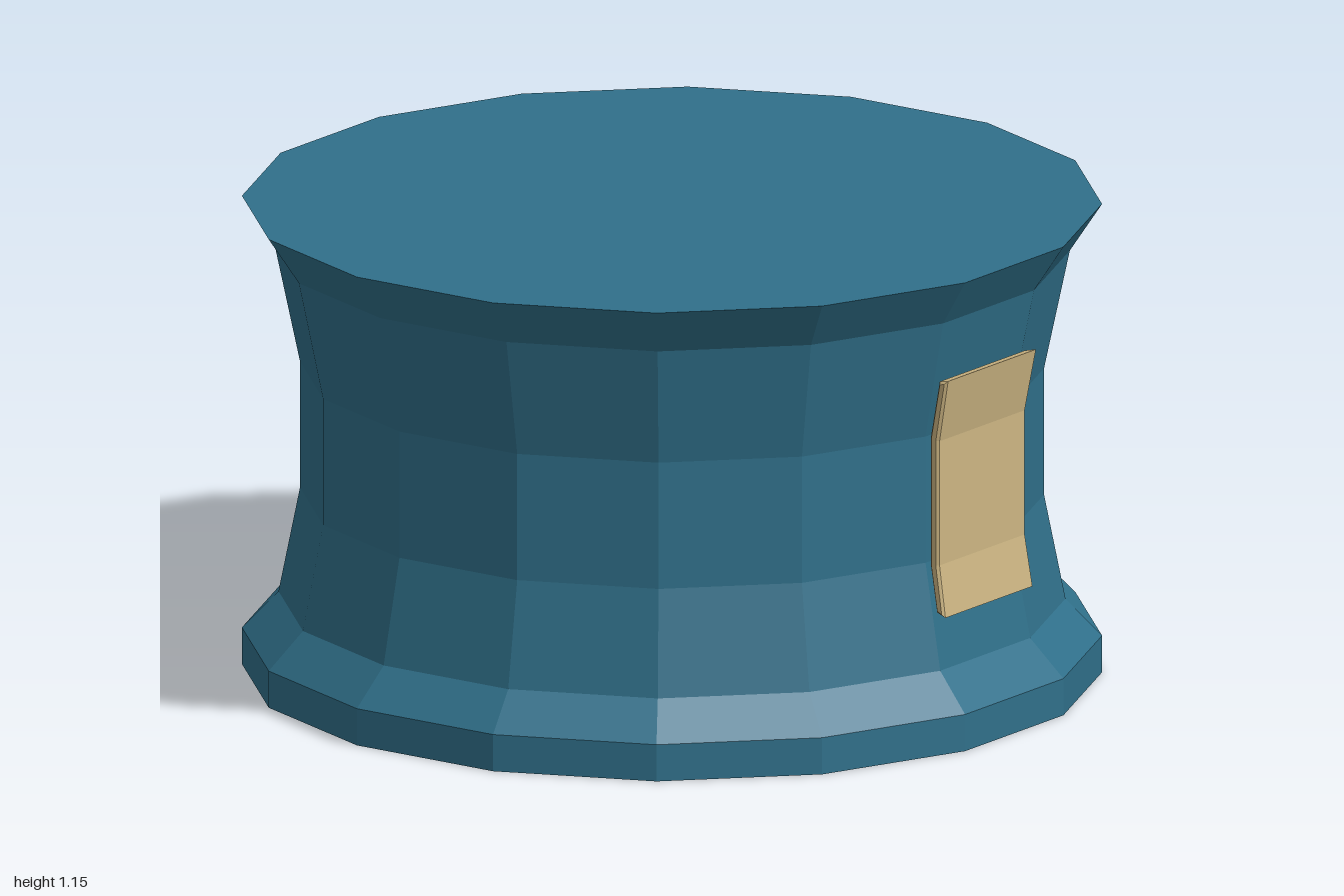
import * as THREE from 'three';

// Unshared vertices give every face its own flat normal
function faceted(geometry) {
  const g = geometry.index ? geometry.toNonIndexed() : geometry;
  g.computeVertexNormals();
  return g;
}

function part(name, geometry, material) {
  const mesh = new THREE.Mesh(faceted(geometry), material);
  mesh.name = name;
  return mesh;
}

export function createModel() {
  const teal = new THREE.MeshStandardMaterial({ color: 0x30708a });
  teal.name = 'teal';
  const tan = new THREE.MeshStandardMaterial({ color: 0xcdb683 });
  tan.name = 'tan';

  const model = new THREE.Group();
  model.name = 'drum';

  // Waisted sixteen-sided body; radii are measured to the flats
  const sides = 16;
  const toCorner = 1 / Math.cos(Math.PI / sides);
  const profile = [
    [0, 0], [1, 0], [1, 0.09], [0.915, 0.18], [0.865, 0.435],
    [0.865, 0.745], [0.925, 1.035], [1, 1.15], [0, 1.15],
  ].map(([r, y]) => new THREE.Vector2(r * toCorner, y));
  model.add(part('body', new THREE.LatheGeometry(profile, sides, Math.PI / sides), teal));

  // Bent plate that follows the waist just clear of the body
  const bevel = 0.007;
  const halfWidth = 0.178;
  const strip = new THREE.Shape([
    [0.898, 0.318], [0.926, 0.31], [0.906, 0.435], [0.906, 0.74],
    [0.935, 0.893], [0.907, 0.887], [0.877, 0.745], [0.877, 0.43],
  ].map(([x, y]) => new THREE.Vector2(x, y)));
  const plate = new THREE.ExtrudeGeometry(strip, {
    depth: 2 * (halfWidth - bevel),
    bevelEnabled: true,
    bevelThickness: bevel,
    bevelSize: bevel,
    bevelOffset: -bevel,
    bevelSegments: 1,
  });
  plate.translate(0, 0, bevel - halfWidth);

  // Widen the plate where it leans outward
  const pos = plate.attributes.position;
  for (let i = 0; i < pos.count; i++) pos.setZ(i, pos.getZ(i) * pos.getX(i) / 0.9);

  for (const [name, angle] of [['leftPlate', 0], ['rightPlate', Math.PI]]) {
    const mesh = part(name, plate, tan);
    mesh.rotation.y = angle;
    model.add(mesh);
  }
  return model;
}
